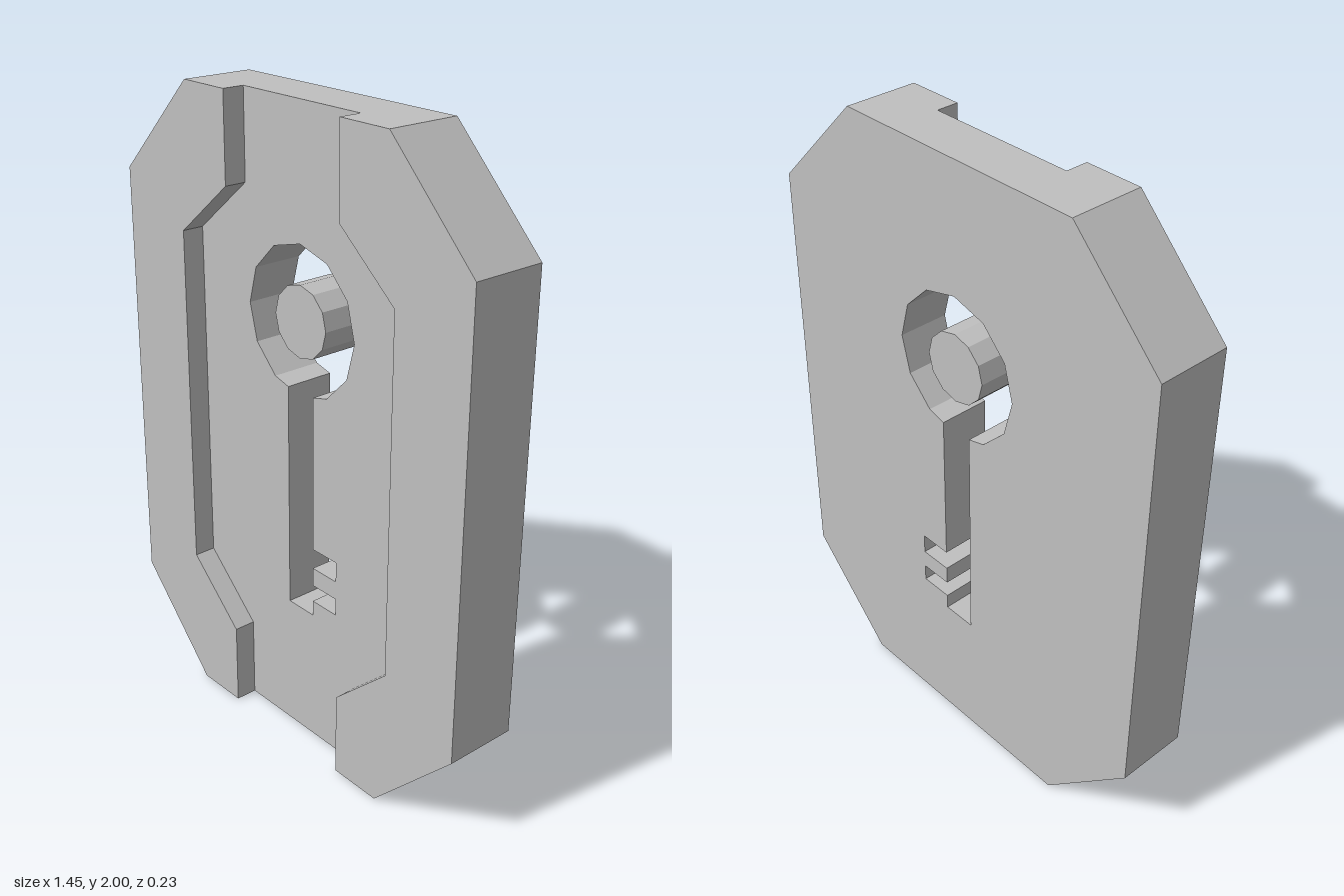
import * as THREE from 'three';

const BACK = -0.115, RECESS = 0.045, FRONT = 0.115;
const toPoints = (list) => list.map(([x, y]) => new THREE.Vector2(x, y));

// Flat-sided slab from an outline, spanning z0 to z1
function slab(name, outline, z0, z1, material, hole) {
  const shape = new THREE.Shape(toPoints(outline));
  if (hole) shape.holes.push(new THREE.Path(toPoints(hole)));
  const geometry = new THREE.ExtrudeGeometry(shape, { depth: z1 - z0, bevelEnabled: false });
  geometry.translate(0, 0, z0);
  const mesh = new THREE.Mesh(geometry, material);
  mesh.name = name;
  return mesh;
}

// Points of a twelve-sided ring, from step first to step last
function ring(radius, first, last) {
  const points = [];
  for (let i = first; i <= last; i++) {
    const a = (i * Math.PI) / 6;
    points.push([radius * Math.cos(a), 1.377 + radius * Math.sin(a)]);
  }
  return points;
}

export function createModel() {
  const group = new THREE.Group();
  group.name = 'keyholePlaque';
  const grey = new THREE.MeshStandardMaterial({ color: 0xc0c0c0, flatShading: true });
  grey.name = 'grey';

  // Eight-sided back plate with a key-shaped opening
  const plate = [
    [-0.42, 0], [0.42, 0], [0.725, 0.31], [0.725, 1.695],
    [0.42, 2], [-0.42, 2], [-0.725, 1.695], [-0.725, 0.31],
  ];
  const key = [
    ...ring(0.228, -2, 8), // bow
    [-0.055, 1.164], [-0.055, 0.44], [0.055, 0.44], // shank
    [0.055, 0.49], [0.16, 0.49], [0.16, 0.545], [0.055, 0.545], // lower tooth
    [0.055, 0.605], [0.16, 0.605], [0.16, 0.67], [0.055, 0.67], // upper tooth
    [0.055, 1.164],
  ];
  group.add(slab('backPlate', plate, BACK, RECESS, grey, key));

  // Free-standing pin in the middle of the bow
  group.add(slab('bowPin', ring(0.11, 0, 11), BACK, RECESS, grey));

  // Raised side rails, mirrored
  for (const [name, s] of [['leftRail', 1], ['rightRail', -1]]) {
    const rail = [
      [0.245, 0], [0.42, 0], [0.725, 0.31], [0.725, 1.695], [0.42, 2],
      [0.24, 2], [0.24, 1.73], [0.453, 1.555], [0.453, 0.457], [0.245, 0.27],
    ].map(([x, y]) => [s * x, y]);
    group.add(slab(name, rail, RECESS, FRONT, grey));
  }
  return group;
}
